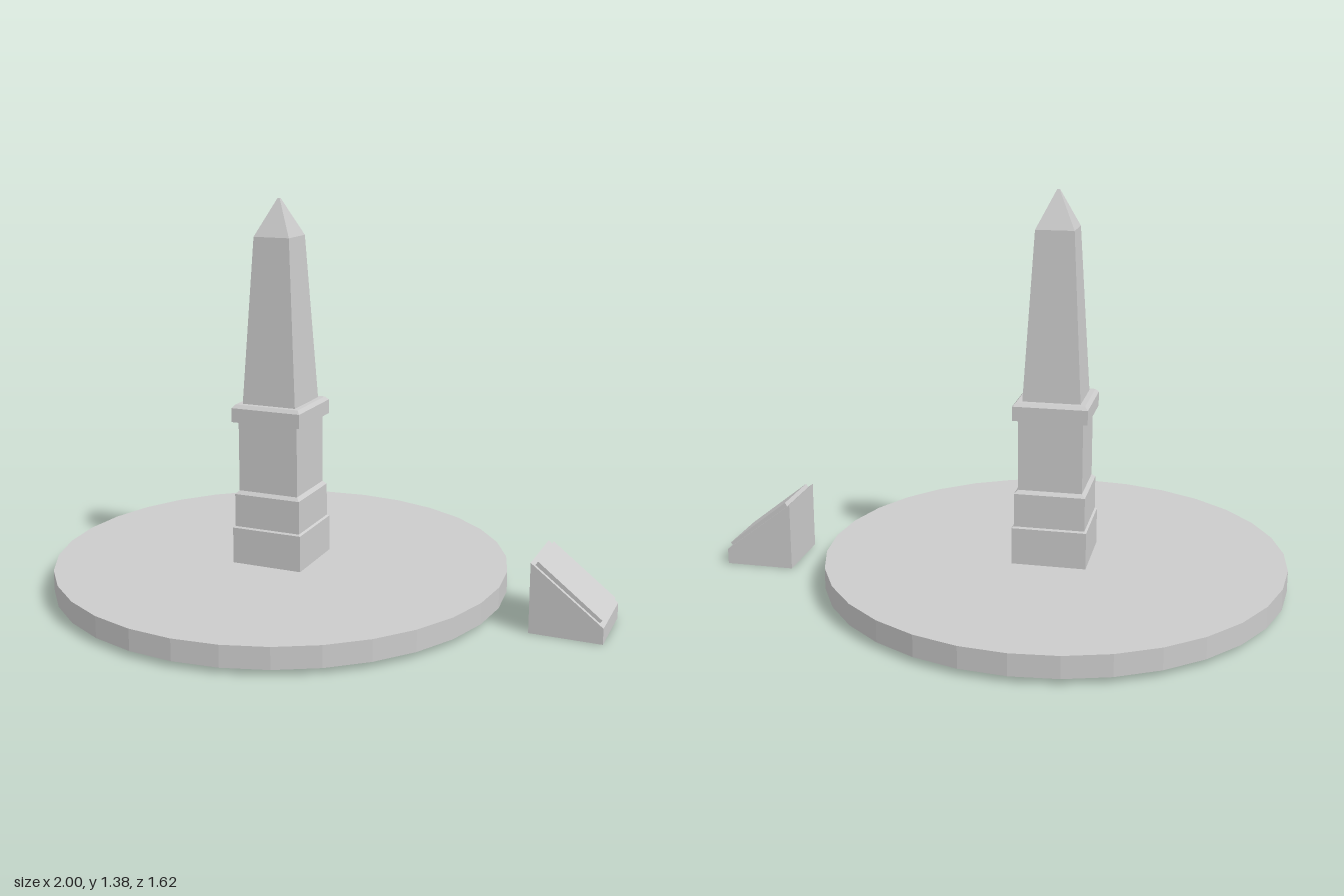
import * as THREE from 'three';

const material = new THREE.MeshStandardMaterial({ color: 0xcccccc, flatShading: true });
const CENTER_X = -0.19;

function addPart(group, name, geometry, x = 0, y = 0, z = 0) {
  const mesh = new THREE.Mesh(geometry, material);
  mesh.name = name;
  mesh.position.set(x, y, z);
  group.add(mesh);
  return mesh;
}

// Square solid from [half width, height] pairs, bottom to top
function squareStack(levels) {
  const points = levels.map(([half, y]) => new THREE.Vector2(half * Math.SQRT2, y));
  return new THREE.LatheGeometry(points, 4, Math.PI / 4).toNonIndexed();
}

// Side outline in x and y, given thickness along z and centred on z = 0
function sidePrism(outline, depth) {
  const shape = new THREE.Shape(outline.map(([x, y]) => new THREE.Vector2(x, y)));
  return new THREE.ExtrudeGeometry(shape, { depth, bevelEnabled: false }).translate(0, 0, -depth / 2);
}

export function createModel() {
  const model = new THREE.Group();
  model.name = 'obeliskMonument';

  // Round platform
  addPart(model, 'platform', new THREE.CylinderGeometry(0.81, 0.81, 0.075, 32), CENTER_X, 0.0575);

  // Stepped pedestal, collar and tapered shaft
  const obelisk = new THREE.Group();
  obelisk.name = 'obelisk';
  obelisk.position.x = CENTER_X;
  model.add(obelisk);
  addPart(obelisk, 'plinth', squareStack([
    [0, 0.09], [0.13, 0.09], [0.13, 0.225], [0.123, 0.23],
    [0.123, 0.348], [0.111, 0.36], [0, 0.36],
  ]));
  addPart(obelisk, 'pedestal', squareStack([
    [0, 0.35], [0.111, 0.35], [0.111, 0.62], [0, 0.62],
  ]));
  addPart(obelisk, 'collar', squareStack([
    [0, 0.61], [0.129, 0.61], [0.129, 0.66], [0.118, 0.672], [0, 0.672],
  ]));
  addPart(obelisk, 'shaft', squareStack([
    [0, 0.665], [0.1, 0.665], [0.066, 1.25], [0.004, 1.378], [0, 1.378],
  ]));

  // Sloping stand with a raised panel
  const stand = new THREE.Group();
  stand.name = 'plaqueStand';
  model.add(stand);
  addPart(stand, 'standBody', sidePrism([
    [0.755, 0], [1, 0], [1, 0.055], [0.755, 0.243],
  ], 0.242));
  addPart(stand, 'plaquePanel', sidePrism([
    [0.764, 0.226], [0.98, 0.06], [0.993, 0.076], [0.776, 0.246],
  ], 0.216));

  return model;
}
